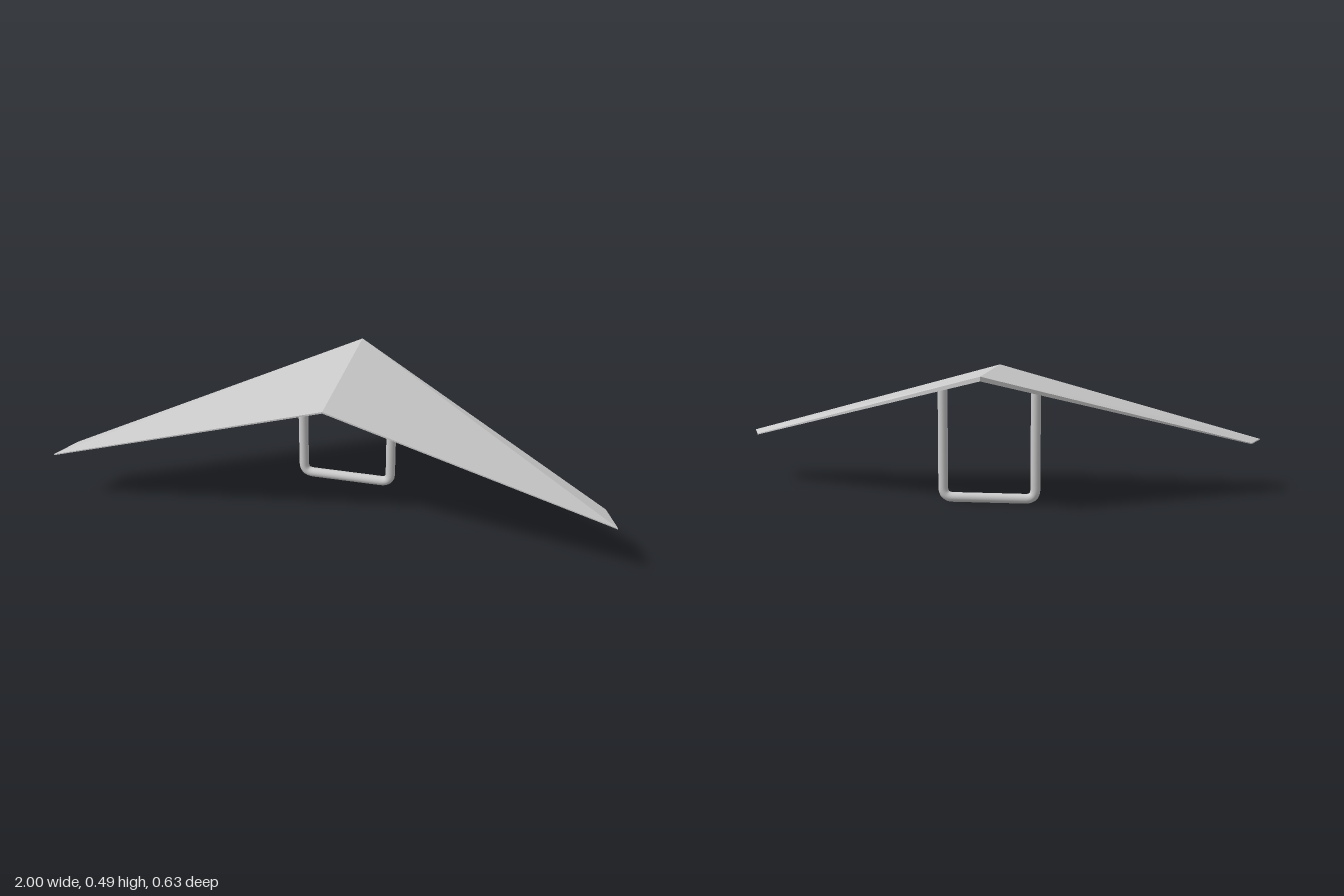
import * as THREE from 'three';

const material = new THREE.MeshStandardMaterial({ color: 0xcccccc });
const flatMaterial = new THREE.MeshStandardMaterial({ color: 0xcccccc, flatShading: true });

// One half of the sail: a thin tapering plate. side = 1 is the left half (+x), -1 the right.
function makeWing(side) {
  // x, top y, z, thickness: nose, centre of trailing edge, rear tip, front tip
  const corners = [
    [0, 0.485, -0.317, 0.016],
    [0, 0.47, 0.278, 0.006],
    [1, 0.191, 0.317, 0.004],
    [0.957, 0.191, 0.21, 0.004],
  ];
  const top = corners.map(([x, y, z]) => [x * side, y, z]);
  const bottom = corners.map(([x, y, z, t]) => [x * side, y - t, z]);
  const positions = [];
  const tri = (a, b, c) => positions.push(...a, ...(side > 0 ? b : c), ...(side > 0 ? c : b));

  // Upper and lower skins
  for (const [i, j, k] of [[0, 1, 2], [0, 2, 3]]) {
    tri(top[i], top[j], top[k]);
    tri(bottom[i], bottom[k], bottom[j]);
  }
  // Trailing, tip and leading edges
  for (const [i, j] of [[1, 2], [2, 3], [3, 0]]) {
    tri(bottom[i], bottom[j], top[j]);
    tri(bottom[i], top[j], top[i]);
  }
  const geometry = new THREE.BufferGeometry();
  geometry.setAttribute('position', new THREE.Float32BufferAttribute(positions, 3));
  geometry.computeVertexNormals();
  const wing = new THREE.Mesh(geometry, flatMaterial);
  wing.name = side > 0 ? 'leftWing' : 'rightWing';
  return wing;
}

// U-shaped control bar hanging below the sail
function makeControlFrame() {
  const r = 0.018, halfWidth = 0.168, topY = 0.421, z = -0.072, bend = 0.036;
  const v = (x, y) => new THREE.Vector3(x, y, z);
  const path = new THREE.CurvePath();
  path.add(new THREE.LineCurve3(v(-halfWidth, topY), v(-halfWidth, r + bend)));
  path.add(new THREE.QuadraticBezierCurve3(v(-halfWidth, r + bend), v(-halfWidth, r), v(-halfWidth + bend, r)));
  path.add(new THREE.LineCurve3(v(-halfWidth + bend, r), v(halfWidth - bend, r)));
  path.add(new THREE.QuadraticBezierCurve3(v(halfWidth - bend, r), v(halfWidth, r), v(halfWidth, r + bend)));
  path.add(new THREE.LineCurve3(v(halfWidth, r + bend), v(halfWidth, topY)));

  const frame = new THREE.Group();
  frame.name = 'controlFrame';
  const tube = new THREE.Mesh(new THREE.TubeGeometry(path, 120, r, 16), material);
  tube.name = 'controlBar';
  frame.add(tube);

  // Closed upper ends
  for (const side of [1, -1]) {
    const cap = new THREE.Mesh(new THREE.CircleGeometry(r, 16), material);
    cap.rotation.x = -Math.PI / 2;
    cap.position.set(side * halfWidth, topY, z);
    cap.name = side > 0 ? 'leftBarEnd' : 'rightBarEnd';
    frame.add(cap);
  }
  return frame;
}

export function createModel() {
  const glider = new THREE.Group();
  glider.name = 'hangGlider';
  glider.add(makeWing(1), makeWing(-1), makeControlFrame());
  return glider;
}
